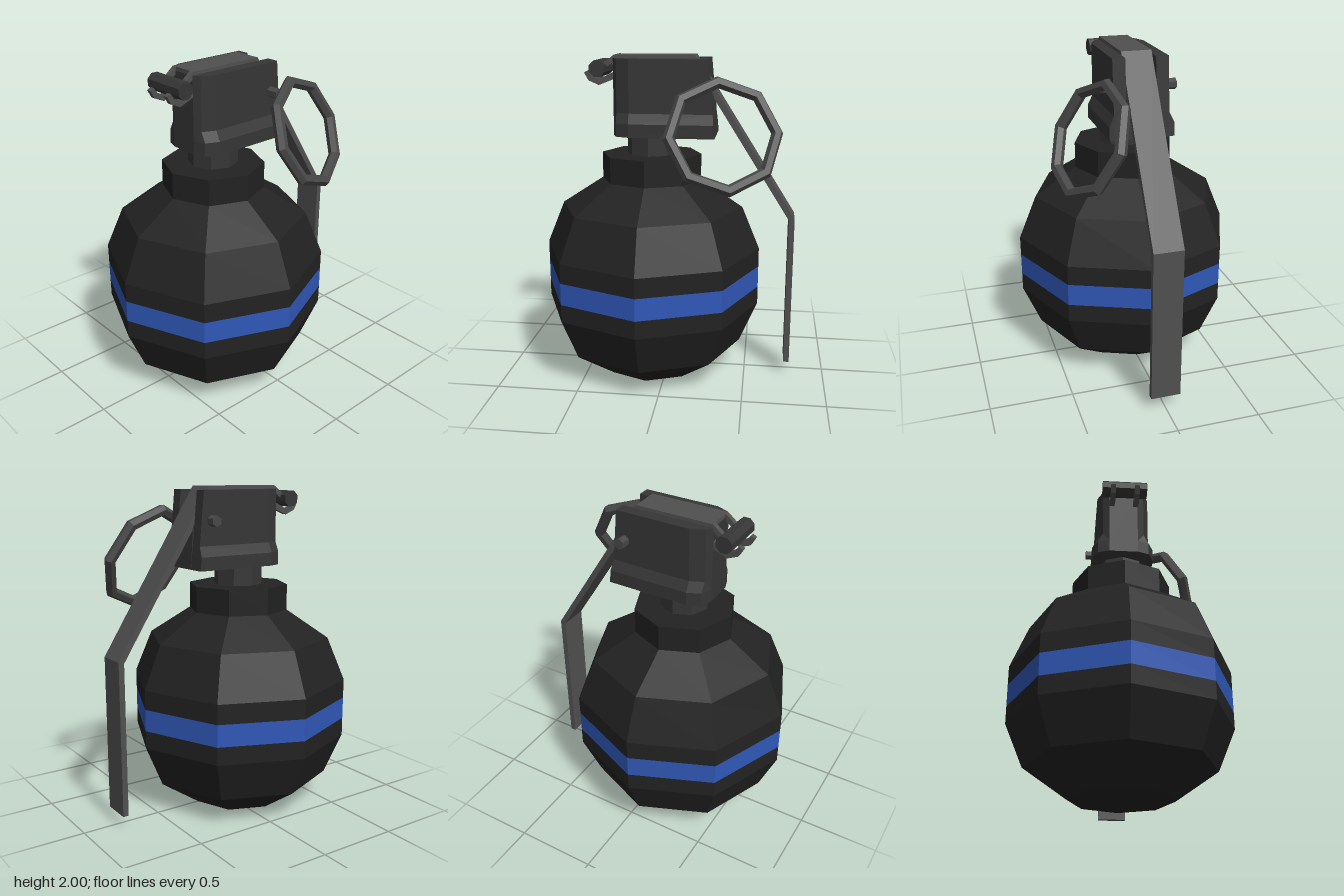
import * as THREE from 'three';

const mat = (color) => new THREE.MeshStandardMaterial({ color, flatShading: true });
const CENTRE_Z = 0.107;

export function createModel() {
  const model = new THREE.Group();
  const black = mat(0x222222), blue = mat(0x3058b8), dark = mat(0x363636);
  const steel = mat(0x505050), ringGrey = mat(0x484848);

  const add = (name, geometry, material) => {
    const mesh = new THREE.Mesh(geometry, material);
    mesh.name = name;
    model.add(mesh);
    return mesh;
  };

  // Eight-sided turned part around the body axis
  const turned = (name, profile, material) => {
    const points = profile.map(([r, y]) => new THREE.Vector2(r, y));
    add(name, new THREE.LatheGeometry(points, 8), material).position.z = CENTRE_Z;
  };

  // Side outline of [z, y] points, extruded across x
  const slab = (name, outline, width, x, material) => {
    const shape = new THREE.Shape(outline.map(([z, y]) => new THREE.Vector2(z, y)));
    const geo = new THREE.ExtrudeGeometry(shape, { depth: width, bevelEnabled: false });
    geo.translate(0, 0, -width / 2).rotateY(-Math.PI / 2);
    add(name, geo, material).position.x = x;
  };

  // Round bar lying along x
  const bar = (name, r, x0, x1, y, z, sides, material) => {
    const geo = new THREE.CylinderGeometry(r, r, x1 - x0, sides);
    geo.rotateY(Math.PI / sides).rotateZ(Math.PI / 2);
    add(name, geo, material).position.set((x0 + x1) / 2, y, z);
  };

  // Body, painted band and collar
  turned('lowerBody', [[0, 0], [0.31, 0], [0.57, 0.18], [0.68, 0.44], [0.68, 0.55]], black);
  turned('paintedBand', [[0.68, 0.55], [0.68, 0.685]], blue);
  turned('upperBody', [[0.68, 0.685], [0.68, 0.805], [0.57, 1.07], [0.31, 1.24]], black);
  turned('collar', [[0.31, 1.24], [0.31, 1.4], [0, 1.4]], black);
  turned('neck', [[0.15, 1.4], [0.15, 1.53]], dark);

  // Head: a core cut away under the lever, between two flared cheeks
  slab('headCore', [[0.325, 1.52], [0.325, 1.978], [-0.15, 1.978], [-0.28, 1.77], [-0.295, 1.52]], 0.18, 0, dark);
  const sections = [[1.52, 0.195, -0.295], [1.6, 0.195, -0.287], [1.66, 0.165, -0.281], [1.98, 0.165, -0.25]]
    .map(([y, w, back]) => [[0.09, back], [w, back], [w, 0.22], [w - 0.035, 0.3], [0.09, 0.325]]
      .map(([x, z]) => [x, y, z]));
  const cheek = loft(sections);
  add('leftHeadCheek', cheek, dark);
  add('rightHeadCheek', cheek, dark).scale.x = -1;

  // Bent safety lever
  slab('lever', [
    [0.32, 2], [-0.165, 2], [-0.785, 1.025], [-0.785, 0.08],
    [-0.75, 0.08], [-0.75, 1.015], [-0.145, 1.965], [0.32, 1.965],
  ], 0.18, 0, steel);

  // Front hinge: pin, lever tabs and hooks
  bar('hingePin', 0.052, -0.14, 0.14, 1.92, 0.413, 8, dark);
  for (const x of [-0.075, 0.075]) {
    slab('leverTab', [[0.32, 2], [0.32, 1.96], [0.365, 1.925], [0.385, 1.947]], 0.03, x, steel);
    slab('hingeHook', [
      [0.32, 1.857], [0.413, 1.82], [0.476, 1.847], [0.503, 1.894],
      [0.478, 1.907], [0.455, 1.875], [0.413, 1.855], [0.32, 1.9],
    ], 0.03, x, steel);
  }

  // Cross pin and tilted pull ring
  bar('safetyPin', 0.033, -0.225, 0.24, 1.805, -0.2, 6, ringGrey);
  const ring = add('pullRing', new THREE.TorusGeometry(0.318, 0.036, 6, 8), ringGrey);
  const normal = new THREE.Vector3(1, 0.45, -0.3).normalize();
  const up = new THREE.Vector3(-0.13, 0.32, 0.048).projectOnPlane(normal).normalize();
  const side = new THREE.Vector3().crossVectors(normal, up);
  ring.quaternion.setFromRotationMatrix(new THREE.Matrix4().makeBasis(up, side, normal));
  ring.position.set(0.33, 1.562, -0.355);

  return model;
}

// Closed solid through matching cross-sections, listed from bottom to top
function loft(sections) {
  const pos = [];
  const tri = (a, b, c) => pos.push(...a, ...b, ...c);
  const n = sections[0].length;
  const bottom = sections[0], top = sections[sections.length - 1];
  for (let i = 0; i < sections.length - 1; i++) {
    const lo = sections[i], hi = sections[i + 1];
    for (let j = 0; j < n; j++) {
      const k = (j + 1) % n;
      tri(lo[j], hi[j], lo[k]);
      tri(lo[k], hi[j], hi[k]);
    }
  }
  for (let j = 1; j < n - 1; j++) {
    tri(bottom[0], bottom[j], bottom[j + 1]);
    tri(top[0], top[j + 1], top[j]);
  }
  const geo = new THREE.BufferGeometry();
  geo.setAttribute('position', new THREE.Float32BufferAttribute(pos, 3));
  geo.computeVertexNormals();
  return geo;
}
